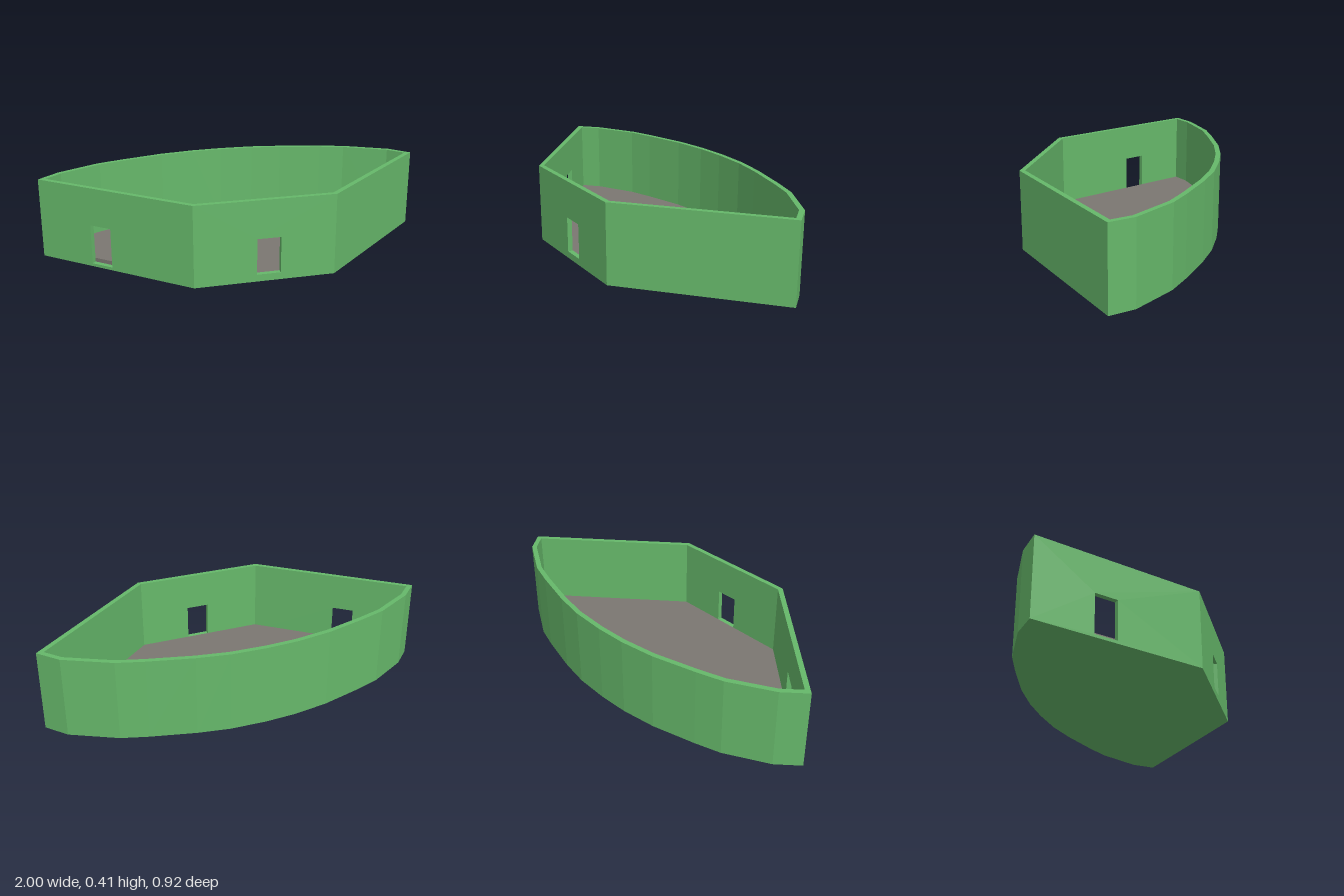
import * as THREE from 'three';

const HEIGHT = 0.405, THICK = 0.025, BASE = 0.015, FLOOR = 0.035;

// Ground outline as [x, z]: front edge, right side, curved back, left side
const OUTLINE = [
  [-0.34, 0.461], [0.35, 0.461],
  [0.997, -0.115], [0.91, -0.215], [0.69, -0.335], [0.56, -0.375], [0.34, -0.43], [0.18, -0.457],
  [0, -0.464],
  [-0.16, -0.457], [-0.34, -0.43], [-0.56, -0.37], [-0.69, -0.328], [-0.9, -0.212], [-1, -0.118],
].map(([x, z]) => new THREE.Vector2(x, z));
const COUNT = OUTLINE.length;
const corner = (i) => OUTLINE[(i + COUNT) % COUNT];

// Outward normal of the wall that starts at corner i
function normalOf(i) {
  const d = corner(i + 1).clone().sub(corner(i)).normalize();
  return new THREE.Vector2(-d.y, d.x);
}

// Mitred inner corners
const INNER = OUTLINE.map((p, i) => {
  const a = normalOf(i - 1), b = normalOf(i);
  const k = THICK / (1 + a.dot(b));
  return p.clone().sub(a.add(b).multiplyScalar(k));
});

// One wall panel with mitred ends and an optional doorway
function wallGeometry(i, door) {
  const A = corner(i), B = corner(i + 1), a = INNER[i], b = INNER[(i + 1) % COUNT];
  const length = A.distanceTo(B);
  const dir = B.clone().sub(A).normalize(), out = normalOf(i);
  const shape = new THREE.Shape([[0, 0], [length, 0], [length, HEIGHT], [0, HEIGHT]]
    .map(([x, y]) => new THREE.Vector2(x, y)));
  if (door) {
    const { left, right, bottom, top } = door;
    shape.holes.push(new THREE.Path([[left, bottom], [left, top], [right, top], [right, bottom]]
      .map(([x, y]) => new THREE.Vector2(x, y))));
  }
  const geo = new THREE.ExtrudeGeometry(shape, { depth: THICK, bevelEnabled: false });
  const pos = geo.attributes.position;
  for (let v = 0; v < pos.count; v++) {
    const s = pos.getX(v), outer = pos.getZ(v) > THICK / 2;
    let p;
    if (s < 1e-5) p = outer ? A : a;
    else if (s > length - 1e-5) p = outer ? B : b;
    else p = A.clone().addScaledVector(dir, s).addScaledVector(out, outer ? 0 : -THICK);
    pos.setXYZ(v, p.x, pos.getY(v), p.y);
  }
  geo.computeVertexNormals();
  return geo;
}

// Horizontal slab filling the inside of the walls
function slabGeometry(y0, y1) {
  const shape = new THREE.Shape(INNER.map((p) => new THREE.Vector2(p.x, -p.y)));
  const geo = new THREE.ExtrudeGeometry(shape, { depth: y1 - y0, bevelEnabled: false });
  return geo.rotateX(-Math.PI / 2).translate(0, y0, 0);
}

export function createModel() {
  const model = new THREE.Group();
  model.name = 'walledRoom';
  const green = new THREE.MeshStandardMaterial({ color: 0x66b86a });
  green.name = 'wallGreen';
  const grey = new THREE.MeshStandardMaterial({ color: 0x7b7771 });
  grey.name = 'floorGrey';

  const add = (parent, name, geo, mat) => {
    const mesh = new THREE.Mesh(geo, mat);
    mesh.name = name;
    parent.add(mesh);
  };

  // Straight walls, two of them with doorways
  const doorway = (bottom) => ({ left: 0.303, right: 0.42, bottom, top: 0.215 });
  add(model, 'frontWall', wallGeometry(0, doorway(FLOOR)), green);
  add(model, 'leftWall', wallGeometry(1), green);
  add(model, 'rightWall', wallGeometry(COUNT - 1, doorway(BASE)), green);

  // Curved back wall made of flat facets
  const back = new THREE.Group();
  back.name = 'backWall';
  for (let i = 2; i < COUNT - 1; i++) add(back, 'backWallFacet', wallGeometry(i), green);
  model.add(back);

  // Base and floor
  add(model, 'base', slabGeometry(0, BASE), green);
  add(model, 'floor', slabGeometry(BASE, FLOOR), grey);
  return model;
}
